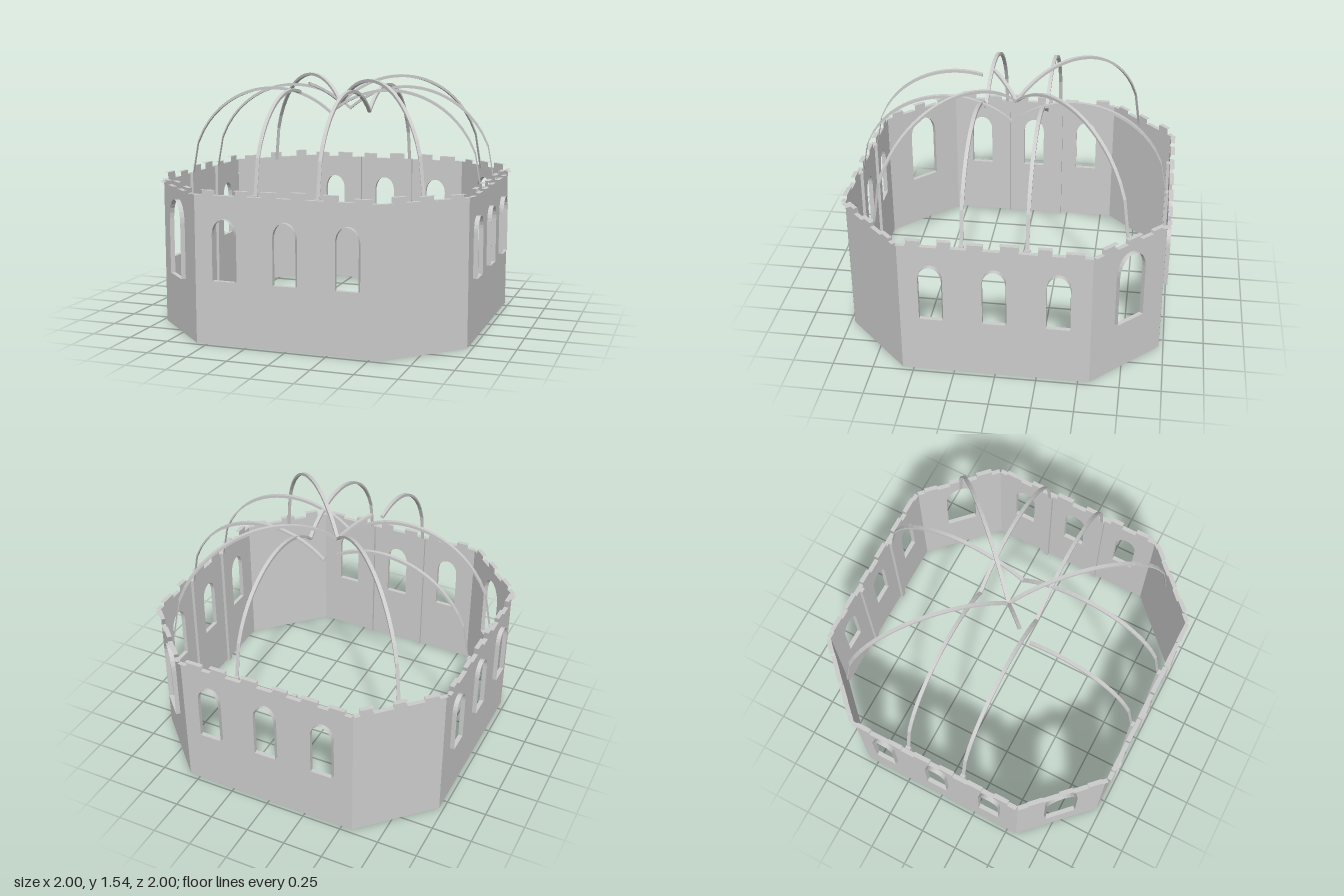
import * as THREE from 'three';

const WALL_TOP = 0.895, DEPTH = 0.028, APOTHEM = 0.972, RIB_BASE = 0.9;

// small seeded generator for the irregular battlements
let seed = 11;
function rand() {
  seed = (seed * 16807) % 2147483647;
  return seed / 2147483647;
}

// flat strip standing out from the wall face along a list of [x, y] points
function ribbon(points, depth) {
  const pos = [], index = [];
  for (const [x, y] of points) pos.push(x, y, 0, x, y, depth);
  for (let i = 0; i < points.length - 1; i++) {
    const a = i * 2;
    index.push(a, a + 1, a + 2, a + 1, a + 3, a + 2);
  }
  const g = new THREE.BufferGeometry();
  g.setAttribute('position', new THREE.Float32BufferAttribute(pos, 3));
  g.setIndex(index);
  const flat = g.toNonIndexed();
  flat.computeVertexNormals();
  return flat;
}

// closed outline of an arched window
function windowOutline(cx, half, sill, spring, top) {
  const pts = [[cx - half, sill], [cx + half, sill]];
  const n = 12;
  for (let i = 0; i <= n; i++) {
    const a = (Math.PI * i) / n;
    pts.push([cx + half * Math.cos(a), spring + (top - spring) * Math.sin(a)]);
  }
  pts.push(pts[0]);
  return pts;
}

// irregular battlement line, from left to right
function battlements(width, count) {
  const pts = [[-width / 2, WALL_TOP]];
  const pitch = width / count;
  for (let i = 0; i < count; i++) {
    const w = pitch * (0.42 + 0.16 * rand());
    const x = -width / 2 + pitch * i + (pitch - w) * (0.3 + 0.4 * rand());
    const y = WALL_TOP + 0.02 + 0.025 * rand();
    pts.push([x, WALL_TOP], [x, y], [x + w, y], [x + w, WALL_TOP]);
  }
  pts.push([width / 2, WALL_TOP]);
  return pts;
}

export function createModel() {
  const model = new THREE.Group();
  const stone = new THREE.MeshStandardMaterial({ color: 0xcccccc, side: THREE.DoubleSide });

  function add(parent, name, geometry) {
    const mesh = new THREE.Mesh(geometry, stone);
    mesh.name = name;
    parent.add(mesh);
    return mesh;
  }

  const toVectors = (pts) => pts.map(([x, y]) => new THREE.Vector2(x, y));

  // one wall panel with battlements, window openings and their reveals
  function wall(name, width, merlons, windows) {
    const group = new THREE.Group();
    group.name = name;
    const crest = battlements(width, merlons);
    const shape = new THREE.Shape(toVectors([[-width / 2, 0], [width / 2, 0], ...crest.slice().reverse()]));
    for (const outline of windows) {
      shape.holes.push(new THREE.Path(toVectors(outline.slice(0, -1))));
      add(group, 'windowReveal', ribbon(outline, DEPTH));
    }
    add(group, 'wallPanel', new THREE.ShapeGeometry(shape));
    // level caps along the top of the wall
    for (let i = 0; i < crest.length - 1; i++) {
      if (crest[i][1] === crest[i + 1][1]) add(group, 'battlementCap', ribbon([crest[i], crest[i + 1]], DEPTH));
    }
    return group;
  }

  // eight walls: four wide with three windows, four corners with every other one open
  for (let k = 0; k < 8; k++) {
    const angle = (k * Math.PI) / 4;
    const corner = k % 2 === 1;
    let group, dist;
    if (corner) {
      const open = k === 3 || k === 7;
      group = wall('cornerWall', 0.57, 3, open ? [windowOutline(0, 0.1, 0.35, 0.69, 0.82)] : []);
      dist = 0.77 * Math.SQRT2;
    } else {
      group = wall('mainWall', 1.138, 6, [-0.377, 0, 0.377].map((x) => windowOutline(x, 0.07, 0.39, 0.665, 0.755)));
      dist = APOTHEM;
      // inner columns that carry the ribs
      for (const x of [-0.19, 0.19]) {
        const column = add(group, 'column', new THREE.BoxGeometry(0.032, RIB_BASE, 0.02));
        column.position.set(x, RIB_BASE / 2, -0.011);
      }
    }
    group.rotation.y = angle;
    group.position.set(dist * Math.sin(angle), 0, dist * Math.cos(angle));
    model.add(group);
  }

  // rib made of two round arches meeting in a dip; from and to count steps, 24 per half
  function rib(name, half, turn, x, z, from = -24, to = 24) {
    const r = 0.6 * half, upper = [], lower = [];
    for (let i = from; i <= to; i++) {
      const d = (half * i) / 24;
      const off = Math.abs(d) - 0.4 * half;
      const y = RIB_BASE + Math.sqrt(Math.max(0, r * r - off * off));
      upper.push([d, y]);
      lower.push([d, y - 0.018]);
    }
    const shape = new THREE.Shape(toVectors([...lower, ...upper.reverse()]));
    const width = 0.022;
    const geometry = new THREE.ExtrudeGeometry(shape, { depth: width, bevelEnabled: false });
    geometry.translate(0, 0, -width / 2);
    const mesh = add(model, name, geometry);
    mesh.rotation.y = turn;
    mesh.position.set(x, 0, z);
  }

  // ribs across, front to back (one broken off) and diagonal (one broken off)
  rib('crossRib', 0.955, 0, 0, -0.19);
  rib('crossRib', 0.955, 0, 0, 0.19);
  rib('longRib', 0.955, -Math.PI / 2, 0.19, 0);
  rib('brokenLongRib', 0.955, -Math.PI / 2, -0.19, 0, 6, 24);
  rib('diagonalRib', 1.06, -Math.PI / 4, 0, 0);
  rib('brokenDiagonalRib', 1.06, Math.PI / 4, 0, 0, -5, 24);

  return model;
}
